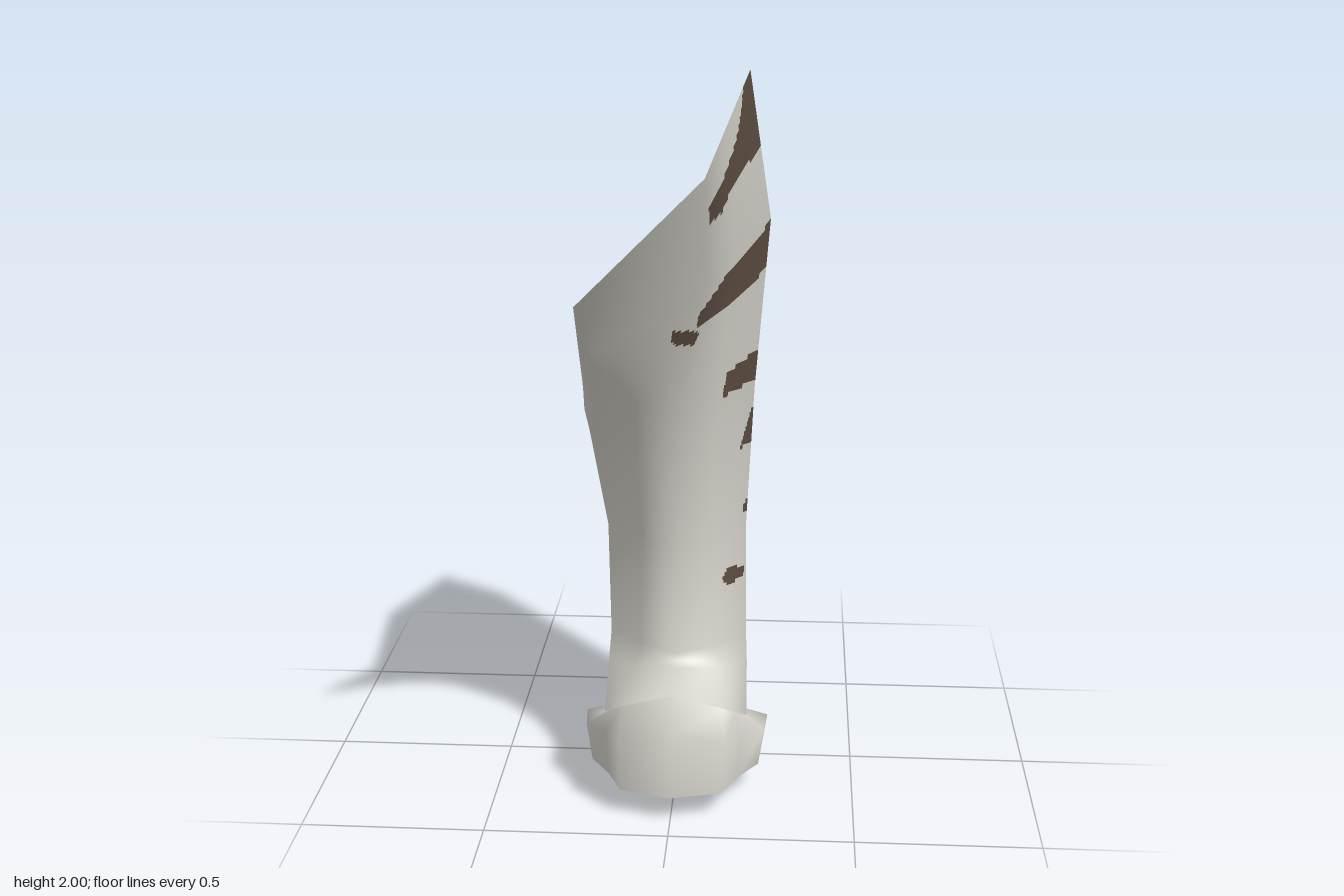
import * as THREE from 'three';

const mirror = (points) => points.map(([x, y, z]) => [-x, y, z]);

// Columns of the leg, each from the rim down to the paw, as [x, y, z]
const frontPeak = [[.09, 1.77, .45], [.085, 1.46, .36], [0, 1.13, .215], [0, .7, .153], [0, .4, .195], [0, .36, .21], [0, .33, .325]];
const frontRight = [[.14, 1.885, .29], [.155, 1.51, .2], [.108, 1.12, .09], [.1, .7, .055], [.1, .4, .135], [.12, .345, .17], [.14, .28, .29]];
const outerTop = [[.19, 2, .13], [.247, 1.6, .05], [.208, 1.12, -.02], [.187, .7, -.05], [.193, .4, .04], [.197, .33, .08], [.2, .21, .18]];
const outerBack = [[.19, 1.8, -.34], [.195, 1.45, -.31], [.19, 1.12, -.25], [.175, .7, -.2], [.17, .42, -.13], [.17, .27, -.07], [.175, .16, .02]];
const backRight = [[.11, 1.39, -.457], [.11, 1.3, -.465], [.105, 1.15, -.447], [.095, .7, -.37], [.1, .5, -.333], [.107, .2, -.228], [.135, .06, -.105]];
const backLeft = [[-.09, 1.36, -.475], [-.09, 1.28, -.467], [-.09, 1.15, -.447], [-.085, .7, -.37], ...mirror(backRight.slice(4))];
const innerBack = [[-.26, 1.09, -.24], [-.255, 1.04, -.235], [-.245, .96, -.225], [-.205, .7, -.19], ...mirror(outerBack.slice(4))];
const innerFront = [[-.26, 1.135, .08], [-.257, 1.07, .08], [-.245, 1, .06], [-.205, .7, -.02], ...mirror(outerTop.slice(4))];
const frontTip = [[-.235, 1.45, .475], [-.21, 1.29, .32], [-.13, 1.11, .155], [-.1, .7, .07], ...mirror(frontRight.slice(4))];

// Stripe outlines on the outer side, as z, y pairs
const stripes = [
  [.18, 1.97, .14, 2.02, -.02, 1.98, -.02, 1.89, .07, 1.81, .24, 1.72, .3, 1.66, .38, 1.645, .395, 1.69, .3, 1.75, .23, 1.83, .2, 1.9],
  [-.1, 1.9, -.13, 1.95, -.29, 1.85, -.29, 1.72, -.33, 1.63, -.41, 1.54, -.41, 1.47, -.33, 1.45, -.25, 1.55, -.15, 1.57, -.02, 1.54,
    .01, 1.47, .14, 1.4, .3, 1.355, .335, 1.4, .24, 1.48, .11, 1.55, -.02, 1.65, -.13, 1.69, -.15, 1.74, -.1, 1.8],
  [.32, 1.355, .32, 1.31, .275, 1.31, .275, 1.34],
  [-.32, 1.43, -.32, 1.27, -.22, 1.28, -.13, 1.21, -.02, 1.14, .07, 1.11, .085, 1.18, -.02, 1.24, -.1, 1.32, -.21, 1.39],
  [0, .94, -.02, 1.05, -.1, 1.09, -.2, 1.07, -.3, 1.09, -.22, 1.01, -.28, .98, -.22, .9, -.15, .92, -.15, .97, -.06, .97],
  [-.03, .75, -.06, .82, -.11, .84, -.11, .76, -.05, .73],
  [.065, .57, .04, .595, -.01, .59, 0, .56, .05, .55],
  [-.18, .66, -.2, .675, -.2, .65],
];

function insideStripe(z, y) {
  return stripes.some((s) => {
    let hit = false;
    for (let i = 0, j = s.length - 2; i < s.length; j = i, i += 2) {
      if ((s[i + 1] > y) !== (s[j + 1] > y) &&
        z < ((s[j] - s[i]) * (y - s[i + 1])) / (s[j + 1] - s[i + 1]) + s[i]) hit = !hit;
    }
    return hit;
  });
}

function surface(points, index) {
  const g = new THREE.BufferGeometry();
  g.setAttribute('position', new THREE.Float32BufferAttribute(points.flat(), 3));
  g.setIndex(index);
  g.computeVertexNormals();
  return g;
}

// Smooth skin over neighbouring columns
function skin(columns) {
  const rows = columns[0].length, index = [];
  for (let c = 0; c < columns.length - 1; c++) {
    for (let r = 0; r < rows - 1; r++) {
      const a = c * rows + r, b = a + rows;
      index.push(a, a + 1, b, b, a + 1, b + 1);
    }
  }
  return surface(columns.flat(), index);
}

// Same skin divided finely, with the cells sorted into fur and stripes
function stripedSkin(columns, n) {
  const coarse = skin(columns), rows = columns[0].length;
  const pos = [], nor = [], fur = [], dark = [];
  const blend = (attr, a, u, v) => {
    const p = [a, a + rows, a + 1, a + rows + 1].map((i) => new THREE.Vector3().fromBufferAttribute(attr, i));
    return p[0].lerp(p[1], u).lerp(p[2].lerp(p[3], u), v);
  };
  for (let c = 0; c < columns.length - 1; c++) {
    for (let r = 0; r < rows - 1; r++) {
      const a = c * rows + r, base = pos.length / 3;
      for (let i = 0; i <= n; i++) {
        for (let j = 0; j <= n; j++) {
          pos.push(...blend(coarse.attributes.position, a, i / n, j / n).toArray());
          nor.push(...blend(coarse.attributes.normal, a, i / n, j / n).normalize().toArray());
        }
      }
      for (let i = 0; i < n; i++) {
        for (let j = 0; j < n; j++) {
          const k = base + i * (n + 1) + j, m = k + n + 1;
          const mid = blend(coarse.attributes.position, a, (i + .5) / n, (j + .5) / n);
          const list = mid.x > 0 && insideStripe(mid.z, mid.y) ? dark : fur;
          list.push(k, k + 1, m, m, k + 1, m + 1);
        }
      }
    }
  }
  const g = new THREE.BufferGeometry();
  g.setAttribute('position', new THREE.Float32BufferAttribute(pos, 3));
  g.setAttribute('normal', new THREE.Float32BufferAttribute(nor, 3));
  g.setIndex([...fur, ...dark]);
  g.addGroup(0, fur.length, 0);
  g.addGroup(fur.length, dark.length, 1);
  return g;
}

// Paw rings: right halves from the leg down to the sole, mirrored to full rings
const pawRings = [
  [[0, .33, .325], [.14, .28, .29], [.17, .245, .235], [.2, .21, .18], [.175, .16, .02], [.135, .06, -.105]],
  [[0, .24, .403], [.145, .22, .365], [.187, .2, .285], [.25, .18, .2], [.258, .18, .11], [.136, .06, -.106]],
  [[0, .07, .42], [.14, .07, .38], [.18, .07, .285], [.235, .07, .2], [.225, .07, .1], [.135, .06, -.105]],
].map((half) => [...half, ...mirror(half.slice(1).reverse())]);

function pawGeometry() {
  const count = pawRings[0].length, index = [];
  for (let r = 0; r < pawRings.length - 1; r++) {
    for (let i = 0; i < count; i++) {
      const a = r * count + i, b = r * count + (i + 1) % count;
      index.push(a, a + count, b, b, a + count, b + count);
    }
  }
  return surface(pawRings.flat(), index);
}

// Sole: a fan down to one low point
function soleGeometry() {
  const ring = pawRings[2];
  const index = ring.flatMap((_, i) => [i, ring.length, (i + 1) % ring.length]);
  return surface([...ring, [0, 0, .13]], index);
}

export function createModel() {
  const fur = new THREE.MeshStandardMaterial({ color: 0xd0cec6, side: THREE.DoubleSide });
  fur.name = 'pale fur';
  const stripe = new THREE.MeshStandardMaterial({ color: 0x5a4b40, side: THREE.DoubleSide });
  stripe.name = 'brown stripe';

  const model = new THREE.Group();
  model.name = 'stripedLeg';
  const add = (name, geometry, material = fur) => {
    const mesh = new THREE.Mesh(geometry, material);
    mesh.name = name;
    model.add(mesh);
  };

  // Leg walls
  add('outerLeg', stripedSkin([innerFront, frontTip, frontPeak, frontRight, outerTop, outerBack, backRight], 32), [fur, stripe]);
  add('backOfLeg', skin([backRight, backLeft]));
  add('innerLeg', skin([backLeft, innerBack, innerFront]));

  // Flat pieces at the open top
  add('backCorner', surface([outerBack[0], backRight[0], backLeft[0]], [0, 1, 2]));
  add('innerFlap', surface([backRight[0], backLeft[0], innerBack[0], innerFront[0]], [0, 1, 2, 0, 2, 3]));

  // Foot
  add('paw', pawGeometry());
  add('sole', soleGeometry());
  return model;
}
